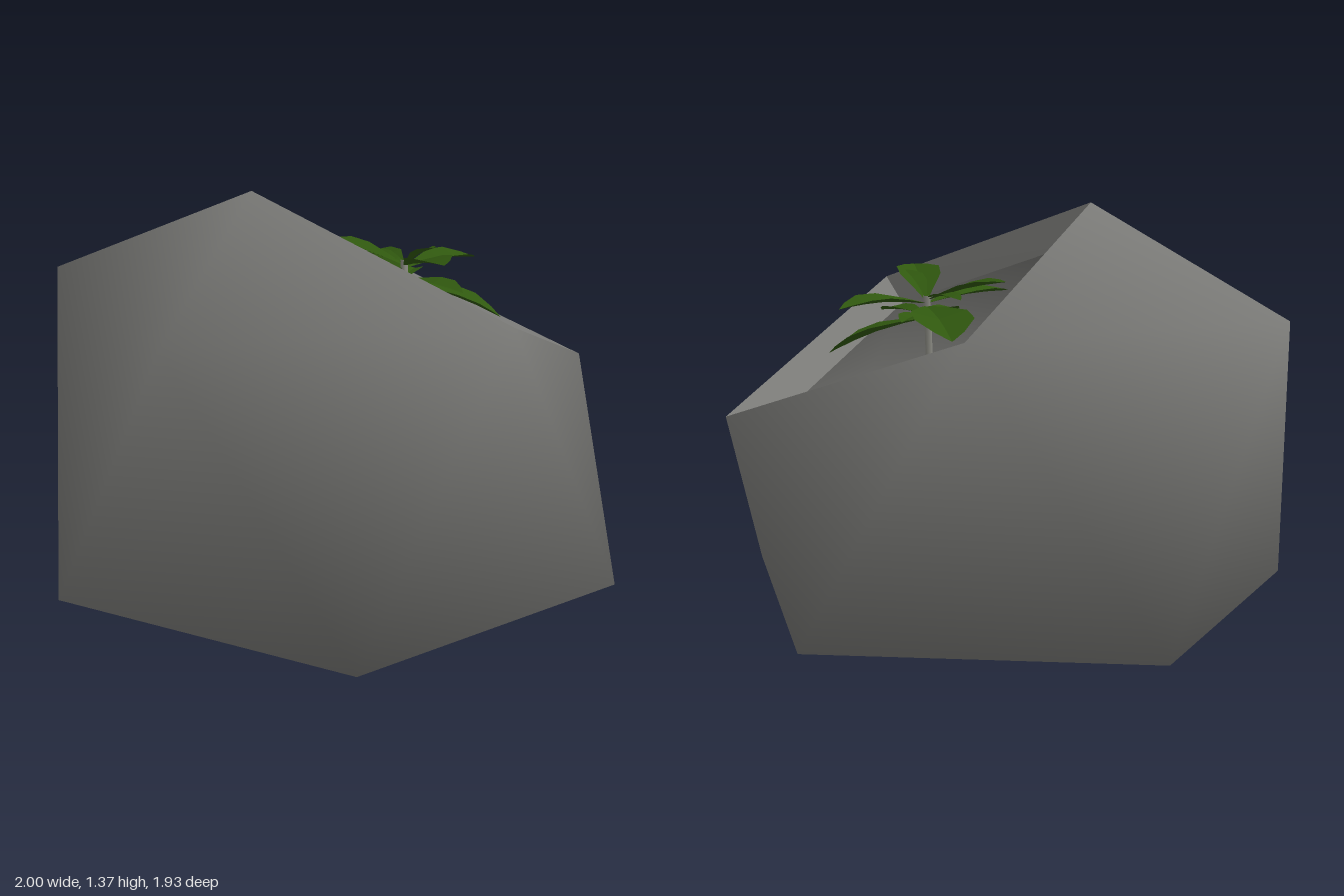
import * as THREE from 'three';

const stone = new THREE.MeshStandardMaterial({ color: 0x7b7b78 });
stone.name = 'stone grey';
const leafGreen = new THREE.MeshStandardMaterial({ color: 0x30580f, side: THREE.DoubleSide });
leafGreen.name = 'leaf green';
const stemGrey = new THREE.MeshStandardMaterial({ color: 0x8c8c84 });
stemGrey.name = 'stem grey';

// Builds a faceted shell; every triangle is turned away from (or towards) the centre.
function shell(points, faces, centre, inward, smooth) {
  const v = points.map((p) => new THREE.Vector3(...p));
  const index = [];
  for (const [a, b, c] of faces) {
    const n = v[b].clone().sub(v[a]).cross(v[c].clone().sub(v[a]));
    const mid = v[a].clone().add(v[b]).add(v[c]).divideScalar(3).sub(centre);
    const outward = n.dot(mid) > 0;
    index.push(...(outward !== inward ? [a, b, c] : [a, c, b]));
  }
  let g = new THREE.BufferGeometry();
  g.setAttribute('position', new THREE.Float32BufferAttribute(points.flat(), 3));
  g.setIndex(index);
  if (!smooth) g = g.toNonIndexed();
  g.computeVertexNormals();
  return g;
}

// Leaf blade folded along its midrib, arched between base and tip.
function leaf(base, tip, width, arch) {
  const b = new THREE.Vector3(...base), t = new THREE.Vector3(...tip);
  const dir = t.clone().sub(b).normalize();
  const side = new THREE.Vector3().crossVectors(dir, new THREE.Vector3(0, 1, 0)).normalize();
  const up = new THREE.Vector3().crossVectors(side, dir);
  const profile = [[0, 0.05], [0.22, 0.45], [0.5, 0.95], [0.72, 1], [0.9, 0.5], [1, 0.03]];
  const pos = [], index = [];
  profile.forEach(([s, w], i) => {
    for (const k of [-1, 0, 1]) {
      const lift = arch * Math.sin(Math.PI * s) + Math.abs(k) * w * width * 0.15;
      const p = b.clone().lerp(t, s).addScaledVector(side, (k * w * width) / 2).addScaledVector(up, lift);
      pos.push(p.x, p.y, p.z);
    }
    if (i === 0) return;
    for (const k of [0, 1]) {
      const a = (i - 1) * 3 + k, c = i * 3 + k;
      index.push(a, a + 1, c, a + 1, c + 1, c);
    }
  });
  let g = new THREE.BufferGeometry();
  g.setAttribute('position', new THREE.Float32BufferAttribute(pos, 3));
  g.setIndex(index);
  g = g.toNonIndexed();
  g.computeVertexNormals();
  return g;
}

export function createModel() {
  const model = new THREE.Group();
  const add = (parent, name, geometry, material) => {
    const m = new THREE.Mesh(geometry, material);
    m.name = name;
    parent.add(m);
    return m;
  };

  // Corners: 0 base side, 1-2 and 3-4 base pairs, 5-6 shoulders, 7-8 rim sides, 9 rim low, 10 rim peak
  const outer = [
    [-1, 0, 0], [-0.3, 0, 0.965], [-0.3, 0, -0.965], [0.835, 0, 0.6], [0.835, 0, -0.6],
    [-0.805, 1.025, 0.595], [-0.805, 1.025, -0.595], [0.32, 1.025, 0.785], [0.32, 1.025, -0.785],
    [1, 0.665, 0], [-0.28, 1.37, 0],
  ];
  const inner = [
    [-0.86, 0.12, 0], [-0.26, 0.12, 0.83], [-0.26, 0.12, -0.83], [0.71, 0.12, 0.51], [0.71, 0.12, -0.51],
    [-0.68, 0.98, 0.5], [-0.68, 0.98, -0.5], [0.28, 0.94, 0.66], [0.28, 0.94, -0.66],
    [0.84, 0.635, 0], [-0.22, 1.225, 0],
  ];
  const faces = [
    [0, 5, 6], [0, 1, 5], [0, 2, 6], [1, 7, 5], [2, 8, 6], [1, 3, 7], [2, 4, 8],
    [3, 9, 7], [4, 9, 8], [3, 4, 9], [5, 6, 10], [5, 7, 10], [6, 8, 10],
    [1, 0, 2], [1, 2, 4], [1, 4, 3],
  ];
  const centre = new THREE.Vector3(0, 0.5, 0);
  const pot = new THREE.Group();
  pot.name = 'planter';
  model.add(pot);
  add(pot, 'outerShell', shell(outer, faces, centre, false, true), stone);
  add(pot, 'innerShell', shell(inner, faces, centre, true, true), stone);

  // Sloping lip between the outer and inner rim
  const loop = [10, 7, 9, 8];
  const lipPoints = [...loop.map((i) => outer[i]), ...loop.map((i) => inner[i])];
  const lipFaces = [];
  for (let i = 0; i < 4; i++) {
    const j = (i + 1) % 4;
    lipFaces.push([i, j, i + 4], [j, j + 4, i + 4]);
  }
  add(pot, 'rimLip', shell(lipPoints, lipFaces, new THREE.Vector3(0.34, 1.0, 0), true, false), stone);

  // Plant
  const plant = new THREE.Group();
  plant.name = 'plant';
  model.add(plant);
  const path = new THREE.CatmullRomCurve3([
    new THREE.Vector3(0.28, 0.11, 0), new THREE.Vector3(0.29, 0.6, -0.01),
    new THREE.Vector3(0.3, 0.9, -0.025), new THREE.Vector3(0.31, 1.07, -0.05),
  ]);
  add(plant, 'stem', new THREE.TubeGeometry(path, 10, 0.013, 6), stemGrey);

  // Each leaf: height at the stem, tip, width, arch
  const leaves = [
    [1.03, [0.31, 0.985, -0.52], 0.2, 0.015],
    [1.05, [0.29, 1.13, 0.32], 0.15, 0.01],
    [1.04, [0.0, 1.06, 0.08], 0.13, 0.01],
    [0.99, [0.63, 0.86, 0.08], 0.16, 0.015],
    [1.04, [0.62, 1.04, -0.12], 0.15, 0.015],
    [1.05, [0.07, 1.13, -0.22], 0.12, 0.01],
    [1.0, [0.43, 0.99, 0.18], 0.1, 0.01],
    [1.0, [0.42, 1.0, -0.19], 0.08, 0.01],
    [1.06, [0.22, 1.07, -0.2], 0.08, 0.01],
    [1.0, [0.17, 0.99, 0.13], 0.08, 0.01],
    [1.05, [0.36, 1.14, 0.1], 0.08, 0.01],
  ];
  leaves.forEach(([y, tip, width, arch], i) =>
    add(plant, `leaf${i + 1}`, leaf([0.31, y, -0.045], tip, width, arch), leafGreen));

  return model;
}
